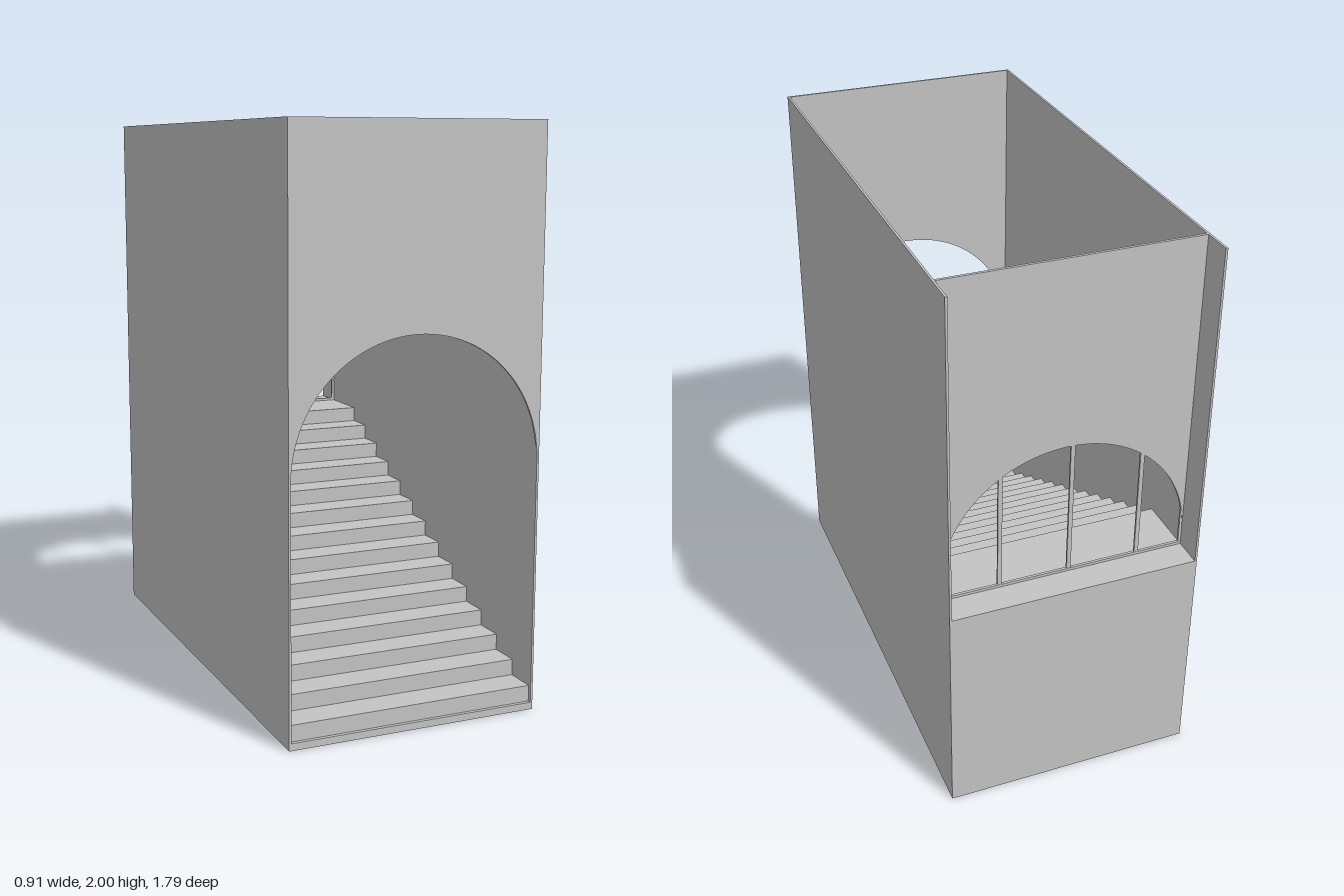
import * as THREE from 'three';

const IN = 0.445;      // half of the clear width between the walls
const OUT = 0.453;     // half of the overall width
const ZE = 0.893;      // half of the overall depth
const SPRING = 0.88;   // height where the arches start
const FLOOR = 0.025;   // top of the base slab
const STEPS = 14, RISE = 0.0565, RUN = 0.111;
const LANDING = FLOOR + STEPS * RISE;

export function createModel() {
  const group = new THREE.Group();
  const plaster = new THREE.MeshStandardMaterial({ color: 0xc4c4c4 });
  plaster.name = 'plaster grey';

  const add = (name, geometry) => {
    const mesh = new THREE.Mesh(geometry, plaster);
    mesh.name = name;
    group.add(mesh);
    return mesh;
  };
  // box given by its two extreme corners
  const box = (name, x0, x1, y0, y1, z0, z1) => {
    const g = new THREE.BoxGeometry(x1 - x0, y1 - y0, z1 - z0);
    g.translate((x0 + x1) / 2, (y0 + y1) / 2, (z0 + z1) / 2);
    return add(name, g);
  };
  // thin wall whose lower edge is a semicircular arch
  const archWall = (name, z, thickness) => {
    const s = new THREE.Shape();
    s.moveTo(IN, SPRING);
    s.lineTo(IN, 2);
    s.lineTo(-IN, 2);
    s.lineTo(-IN, SPRING);
    s.absarc(0, SPRING, IN, Math.PI, 0, true);
    const g = new THREE.ExtrudeGeometry(s, { depth: thickness, bevelEnabled: false, curveSegments: 40 });
    g.translate(0, 0, z);
    return add(name, g);
  };

  // base slab and side walls
  box('baseSlab', -IN, OUT, 0, FLOOR, -ZE, ZE);
  box('rightWall', -OUT, -IN, 0, 2, -ZE, ZE);
  box('leftWall', IN, OUT, FLOOR, 2, -ZE, ZE);

  // solid flight of stairs with its landing, drawn in profile and extruded across
  const profile = new THREE.Shape();
  profile.moveTo(-ZE, FLOOR);
  let z = 0.88, y = FLOOR;
  profile.lineTo(z, y);
  for (let i = 0; i < STEPS; i++) {
    y += RISE;
    profile.lineTo(z, y);
    z = i < STEPS - 1 ? z - RUN : -ZE;
    profile.lineTo(z, y);
  }
  const stairs = new THREE.ExtrudeGeometry(profile, { depth: 2 * IN, bevelEnabled: false });
  stairs.rotateY(-Math.PI / 2);
  stairs.translate(IN, 0, 0);
  add('stairs', stairs);

  // front and back arches
  archWall('frontArch', ZE - 0.008, 0.008);
  archWall('backArch', -0.785, 0.01);

  // window sill and bars below the back arch
  box('windowSill', -IN, IN, LANDING, 0.826, -0.785, -0.775);
  const bars = [[-0.445, -0.435], [-0.28, -0.265], [-0.025, -0.01], [0.228, 0.243], [0.435, 0.445]];
  for (const [x0, x1] of bars) {
    const reach = Math.max(Math.abs(x0), Math.abs(x1));
    const top = SPRING + Math.sqrt(Math.max(0, IN * IN - reach * reach)) + 0.01;
    const outer = reach === IN;
    box('windowBar', x0, x1, 0.826, outer ? 0.96 : top, -0.784, -0.776);
  }
  return group;
}
